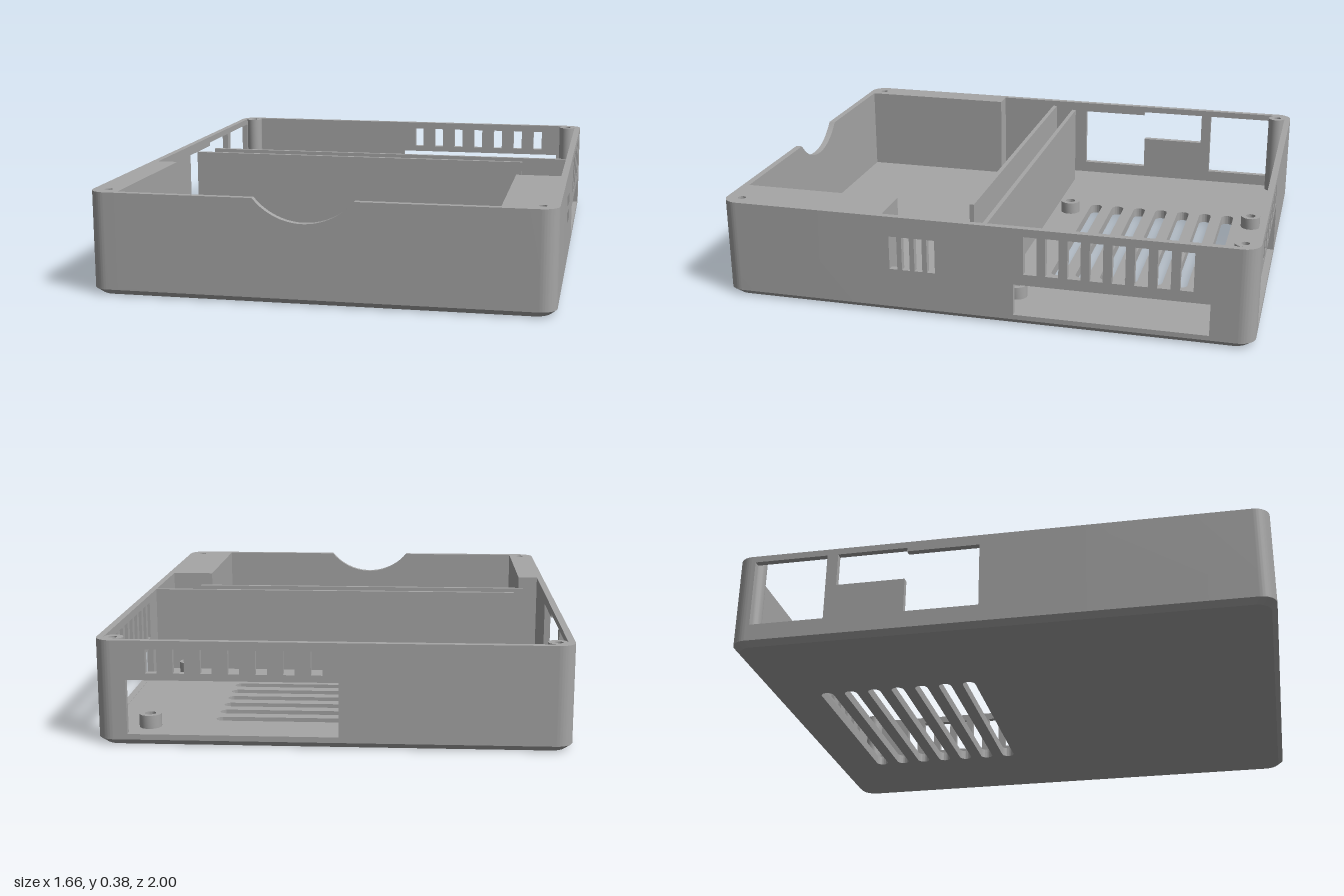
import * as THREE from 'three';
import { toCreasedNormals } from 'three/addons/utils/BufferGeometryUtils.js';

const W = 0.83, D = 1, TOP = 0.375, WALL = 0.025, R = 0.06;
const BASE = 0.025, FLOOR = 0.037;

export function createModel() {
  const group = new THREE.Group();
  const plastic = new THREE.MeshStandardMaterial({ color: 0xa6a6a6 });
  plastic.name = 'greyPlastic';

  const add = (name, geo) => {
    const mesh = new THREE.Mesh(toCreasedNormals(geo, 0.6), plastic);
    mesh.name = name;
    group.add(mesh);
    return mesh;
  };
  const rect = (x0, y0, x1, y1) => new THREE.Shape([
    [x0, y0], [x1, y0], [x1, y1], [x0, y1]].map(p => new THREE.Vector2(...p)));
  const circle = (x, y, r) => new THREE.Shape().absarc(x, y, r, 0, Math.PI * 2, false);
  const mirror = (shape, s) => new THREE.Shape(
    shape.getPoints(10).map(p => new THREE.Vector2(p.x * s, p.y)));
  const extrude = (shape, holes, depth, steps = 1) => {
    shape.holes.push(...holes);
    return new THREE.ExtrudeGeometry(shape, { depth, steps, bevelEnabled: false, curveSegments: 10 });
  };
  // plan shapes use (x, -z) and rise from y0 to y1
  const prism = (shape, holes, y0, y1, steps) =>
    extrude(shape, holes, y1 - y0, steps).rotateX(-Math.PI / 2).translate(0, y0, 0);
  // side walls use (-z, y) and start at x
  const sideWall = (shape, holes, x) =>
    extrude(shape, holes, WALL).rotateY(Math.PI / 2).translate(x, 0, 0);
  const roundedRect = (w, d, r) => {
    const s = new THREE.Shape();
    s.absarc(w - r, d - r, r, 0, Math.PI / 2, false);
    s.absarc(r - w, d - r, r, Math.PI / 2, Math.PI, false);
    s.absarc(r - w, r - d, r, Math.PI, Math.PI * 1.5, false);
    s.absarc(w - r, r - d, r, Math.PI * 1.5, Math.PI * 2, false);
    return s;
  };

  // cooling slots through the floor
  const slots = () => Array.from({ length: 7 }, (_, i) => {
    const v = 0.78 - i * 0.0965, r = 0.025, s = new THREE.Shape();
    s.absarc(0.415, v, r, -Math.PI / 2, Math.PI / 2, false);
    s.absarc(-0.34, v, r, Math.PI / 2, Math.PI * 1.5, false);
    return s;
  });

  // base plate with a chamfered lower edge
  const base = prism(roundedRect(W, D, R), slots(), 0, BASE, 2);
  const p = base.attributes.position;
  for (let i = 0; i < p.count; i++) {
    const x = p.getX(i), y = p.getY(i), z = p.getZ(i);
    if (y > 0.005 && y < 0.02) p.setY(i, 0.02);
    if (y < 0.005 && (Math.abs(x) > 0.7 || Math.abs(z) > 0.9))
      p.setXYZ(i, x * (1 - 0.02 / W), 0, z * (1 - 0.02 / D));
  }
  base.deleteAttribute('normal');
  base.computeVertexNormals();
  add('basePlate', base);

  // raised floor around the sunken front bay
  add('raisedFloor', prism(roundedRect(W - 0.015, D - 0.015, 0.045),
    [...slots(), rect(-0.725, -0.975, 0.635, -0.087)], BASE, FLOOR));

  // back wall with vents and port opening
  const backHoles = [rect(-0.02, 0.04, 0.72, 0.235)];
  for (let i = 0; i < 7; i++) {
    const x = 0.035 + i * 0.0957;
    backHoles.push(rect(x, 0.26, x + 0.04, 0.345));
  }
  add('backWall', extrude(rect(R - W, BASE, W - R, TOP), backHoles, WALL).translate(0, 0, -D));

  // front wall with a curved finger notch
  const front = new THREE.Shape();
  const a = Math.asin(0.18 / 0.233);
  front.moveTo(-0.725, BASE);
  front.lineTo(0.635, BASE);
  front.lineTo(0.635, TOP);
  front.absarc(-0.045, 0.523, 0.233, -Math.PI / 2 + a, -Math.PI / 2 - a, true);
  front.lineTo(-0.725, TOP);
  add('frontWall', extrude(front, [], WALL).translate(0, 0, D - WALL));

  // left wall with slits, vents and a long port opening
  const leftHoles = [rect(0.13, 0.038, 0.84, 0.158)];
  for (let i = 0; i < 8; i++) {
    const u = 0.169 + i * 0.0803;
    leftHoles.push(rect(u, 0.2, u + 0.048, 0.345));
  }
  for (let i = 0; i < 4; i++) {
    const u = -0.338 + i * 0.0482;
    leftHoles.push(rect(u, 0.17, u + 0.03, 0.298));
  }
  add('leftWall', sideWall(rect(-0.37, BASE, D - R, TOP), leftHoles, W - WALL));

  // right wall with a stepped opening and a tall window
  const stepped = new THREE.Shape([[0.055, 0.085], [0.335, 0.085], [0.335, 0.22], [0.598, 0.22],
    [0.598, 0.35], [0.33, 0.35], [0.33, 0.335], [0.055, 0.335]].map(q => new THREE.Vector2(...q)));
  add('rightWall', sideWall(rect(-0.34, BASE, D - R, TOP),
    [stepped, rect(0.64, 0.085, 0.925, 0.35)], -W));

  // solid front blocks and back corner posts, each with a screw hole
  const sides = [['left', 1, 0.635, 0.37], ['right', -1, 0.725, 0.34]];
  for (const [side, s, inner, zBack] of sides) {
    const block = new THREE.Shape();
    block.moveTo(inner, -zBack);
    block.lineTo(inner, -D);
    block.absarc(W - R, R - D, R, -Math.PI / 2, 0, false);
    block.lineTo(W, -zBack);
    add(side + 'FrontBlock', prism(mirror(block, s), [circle(s * 0.772, -0.94, 0.015)], BASE, TOP));

    const post = new THREE.Shape();
    post.moveTo(W - R, D);
    post.absarc(W - R, D - R, R, Math.PI / 2, 0, true);
    post.absarc(W - R, D - R, R - WALL, 0, -Math.PI * 1.5, true);
    add(side + 'BackPost', prism(mirror(post, s), [circle(s * 0.772, 0.943, 0.015)], BASE, TOP));
  }

  // two parallel partitions across the middle
  add('rearPartition', prism(rect(-0.68, 0.013, 0.81, 0.03), [], BASE, TOP));
  add('frontPartition', prism(rect(-0.725, -0.087, 0.635, -0.07), [], BASE, TOP));

  // hollow board standoffs
  for (const x of [-0.265, 0.66])
    for (const v of [0.885, 0.1])
      add('standoff', prism(circle(x, v, 0.04), [circle(x, v, 0.02)], FLOOR, 0.085));

  return group;
}
